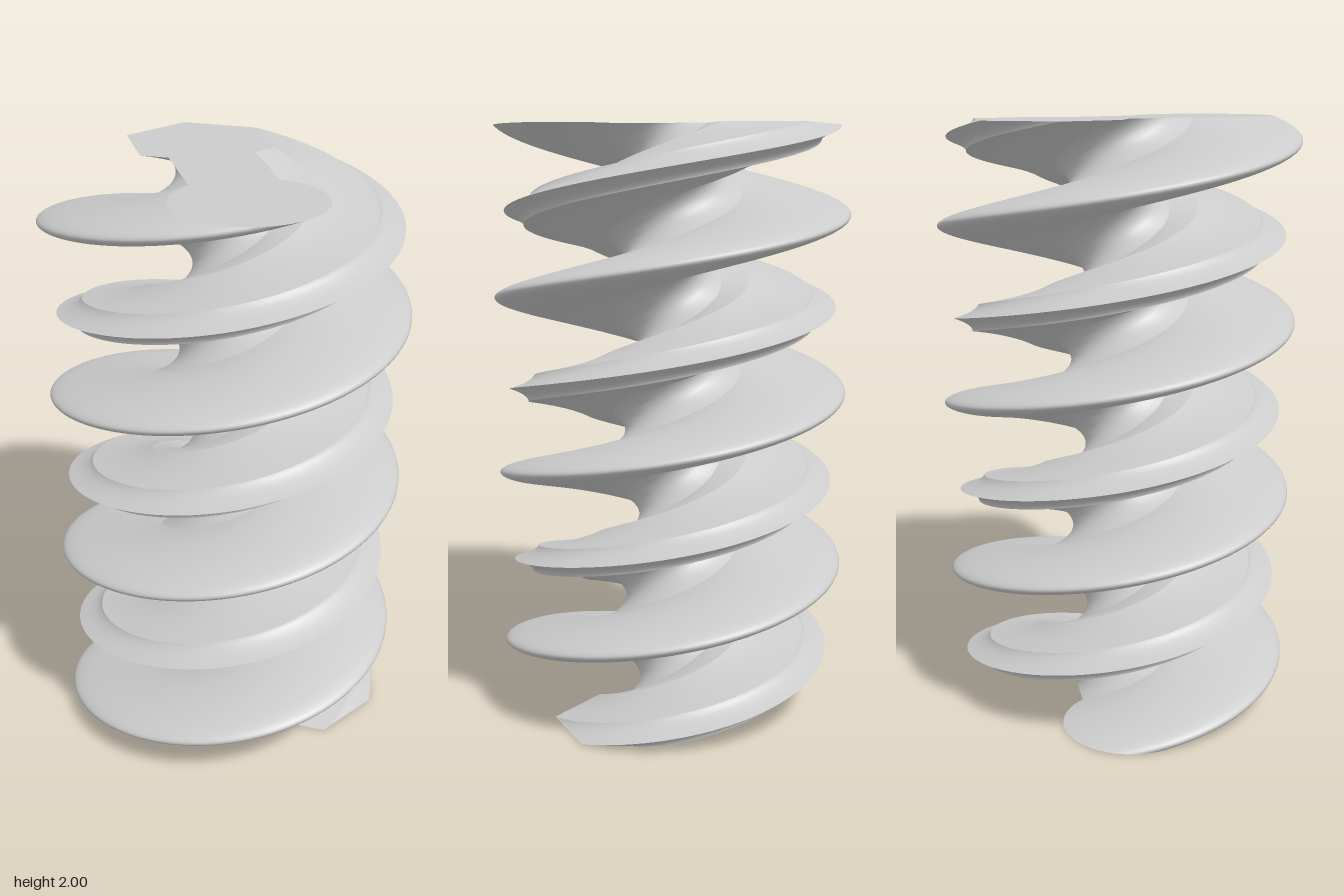
import * as THREE from 'three';
import { mergeGeometries } from 'three/addons/utils/BufferGeometryUtils.js';

const HEIGHT = 2, LAYERS = 360;
const TWIST = THREE.MathUtils.degToRad(1200); // total turn from top to bottom
const BASE_SCALE = 0.962;                     // slight taper towards the base
const AXIS = Math.PI / 3, OFFSET = -0.024;    // profile direction at the top, sideways shift
const HEX = -0.307, HEX_R = 0.259;            // hexagonal lobe
const DISC = 0.369, DISC_R = 0.238;           // round lobe
const BAR = 0.14;                             // half width of the web

// Straight run of profile points
function line([u0, v0], [u1, v1], n) {
  return Array.from({ length: n + 1 }, (_, i) => [u0 + (u1 - u0) * i / n, v0 + (v1 - v0) * i / n]);
}

// Cross-section as smooth runs; a hard edge lies between every two runs
function profileRuns() {
  const k = Math.sqrt(3) / 2;
  const neck = DISC - Math.sqrt(DISC_R ** 2 - BAR ** 2);
  const corners = [
    [HEX - HEX_R, 0], [HEX - HEX_R / 2, k * HEX_R], [HEX + HEX_R / 2, k * HEX_R],
    [HEX + HEX_R - BAR / Math.sqrt(3), BAR], [neck, BAR],
  ];
  const side = corners.slice(1).map((c, i) => line(corners[i], c, i === 3 ? 8 : 5));
  const mirrored = side.map(run => run.map(([u, v]) => [u, -v]).reverse()).reverse();
  const start = Math.PI - Math.asin(BAR / DISC_R);
  const arc = Array.from({ length: 49 }, (_, i) => {
    const a = start * (1 - i / 24);
    return [DISC + DISC_R * Math.cos(a), DISC_R * Math.sin(a)];
  });
  return [...side, arc, ...mirrored];
}

// Place a profile point at height fraction t
function place([u, v], t) {
  const s = BASE_SCALE + (1 - BASE_SCALE) * t;
  const a = AXIS + TWIST * (1 - t), w = v + OFFSET;
  return [
    s * (u * Math.cos(a) + w * Math.sin(a)),
    HEIGHT * t,
    s * (u * Math.sin(a) - w * Math.cos(a)),
  ];
}

// Sweep one run up the screw
function sweep(run) {
  const positions = [], index = [], n = run.length;
  for (let j = 0; j <= LAYERS; j++) {
    for (const p of run) positions.push(...place(p, j / LAYERS));
  }
  for (let j = 0; j < LAYERS; j++) {
    for (let i = 0; i < n - 1; i++) {
      const a = j * n + i, b = a + n;
      index.push(a, b, a + 1, a + 1, b, b + 1);
    }
  }
  const g = new THREE.BufferGeometry();
  g.setAttribute('position', new THREE.Float32BufferAttribute(positions, 3));
  g.setIndex(index);
  g.computeVertexNormals();
  return g;
}

// Flat end face, facing up (dir 1) or down (dir -1)
function cap(runs, t, dir) {
  const pts = runs.flatMap(run => run.slice(0, -1)).map(p => {
    const [x, , z] = place(p, t);
    return new THREE.Vector2(x, -dir * z);
  });
  const g = new THREE.ShapeGeometry(new THREE.Shape(pts));
  g.rotateX(-dir * Math.PI / 2);
  g.translate(0, HEIGHT * t, 0);
  return g;
}

export function createModel() {
  const group = new THREE.Group();
  group.name = 'twistedColumn';
  const material = new THREE.MeshStandardMaterial({ color: 0xcccccc });
  const add = (name, geometry) => {
    const mesh = new THREE.Mesh(geometry, material);
    mesh.name = name;
    group.add(mesh);
  };
  const runs = profileRuns();
  add('twistedBody', mergeGeometries(runs.map(sweep)));
  add('topFace', cap(runs, 1, 1));
  add('bottomFace', cap(runs, 0, -1));
  return group;
}
